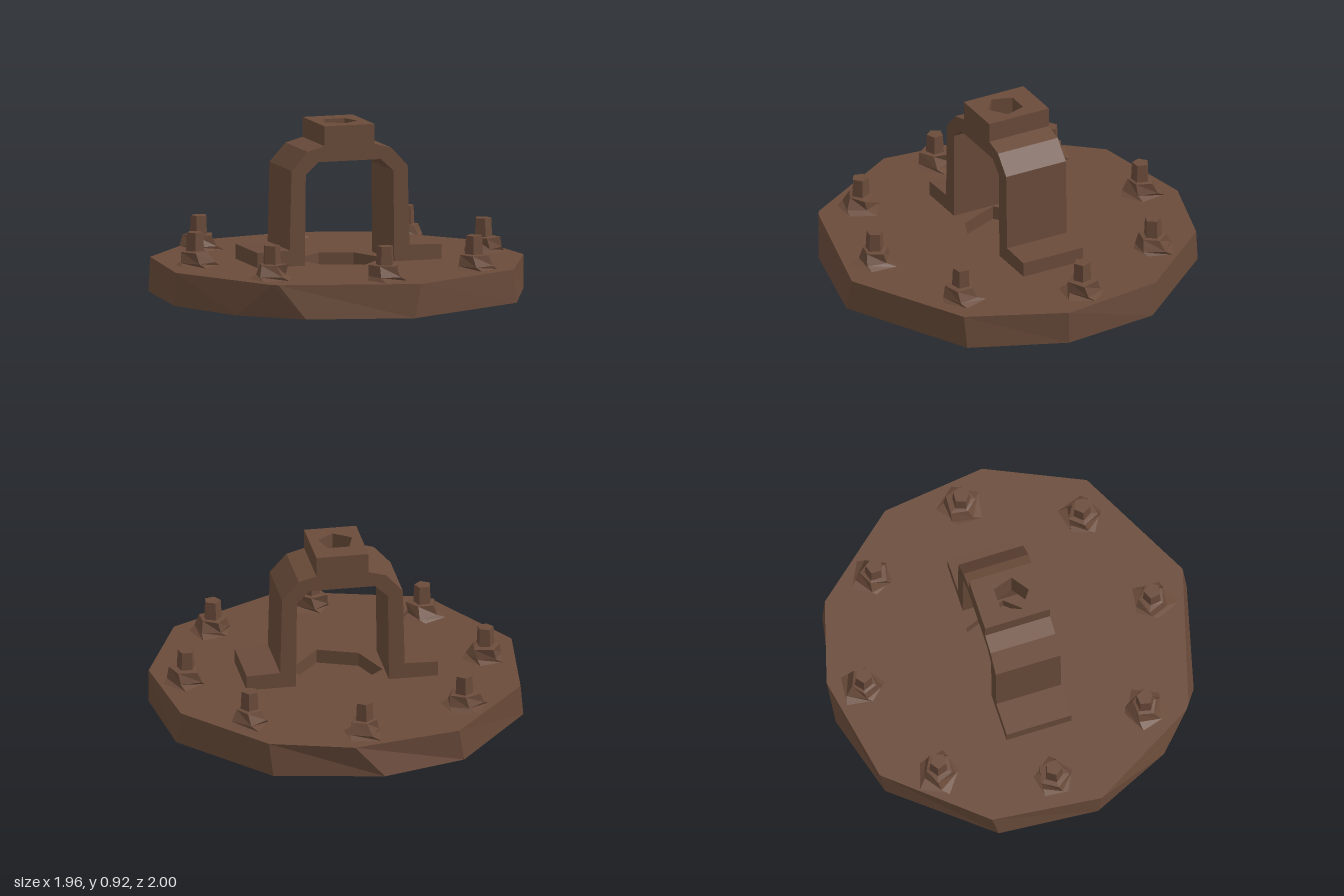
import * as THREE from 'three';

const bronze = new THREE.MeshStandardMaterial({ color: 0x6a4b3a, flatShading: true });
bronze.name = 'brown bronze';

const TOP = 0.18;

// Rings are lists of [x, z], clockwise seen from above.
const baseBottom = [[-0.08, -1], [0.5, -0.89], [0.93, -0.38], [0.98, 0.15], [0.77, 0.65], [0.08, 1],
  [-0.48, 0.86], [-0.78, 0.6], [-0.98, 0.17], [-0.94, -0.37], [-0.53, -0.87]];
const baseTop = [[0.08, -1], [0.52, -0.87], [0.91, -0.41], [0.98, 0.15], [0.75, 0.66], [0.12, 0.99],
  [-0.61, 0.79], [-0.64, 0.77], [-0.98, 0.19], [-0.92, -0.4], [-0.5, -0.89]];
const pit = [[-0.03, -0.25], [0.15, -0.2], [0.24, 0.03], [0.06, 0.24], [-0.15, 0.16], [-0.24, -0.06]];

function ring(sides, radius, turn = 0, jitter = () => 1) {
  return Array.from({ length: sides }, (_, i) => {
    const a = turn + (i / sides) * Math.PI * 2, r = radius * jitter();
    return [Math.cos(a) * r, Math.sin(a) * r];
  });
}

function mesh(name, geometry) {
  const m = new THREE.Mesh(geometry, bronze);
  m.name = name;
  return m;
}

// Wall between two rings; swapping the rings makes it face inward.
function wall(name, a, ya, b, yb) {
  const p = [];
  a.forEach((_, i) => {
    const j = (i + 1) % a.length;
    const a0 = [a[i][0], ya, a[i][1]], a1 = [a[j][0], ya, a[j][1]];
    const b0 = [b[i][0], yb, b[i][1]], b1 = [b[j][0], yb, b[j][1]];
    p.push(...a0, ...b0, ...b1, ...a0, ...b1, ...a1);
  });
  const g = new THREE.BufferGeometry();
  g.setAttribute('position', new THREE.Float32BufferAttribute(p, 3));
  g.computeVertexNormals();
  return mesh(name, g);
}

// Flat face at height y, looking up (1) or down (-1), with an optional hole.
function face(name, outline, y, dir, hole) {
  const pts = (r) => r.map(([x, z]) => new THREE.Vector2(x, -dir * z));
  const s = new THREE.Shape(pts(outline));
  if (hole) s.holes.push(new THREE.Path(pts(hole)));
  const g = new THREE.ShapeGeometry(s);
  g.rotateX(-dir * Math.PI / 2);
  g.translate(0, y, 0);
  return mesh(name, g);
}

// Faceted disc, hollow underneath, with a shallow pit in the middle
function makeBase() {
  const g = new THREE.Group();
  g.name = 'base';
  const recess = ring(11, 0.64, 0.2);
  const ceiling = 0.17, pitFloor = 0.1;
  const boss = pit.map(([x, z]) => [x * 1.02, z * 1.02]);
  g.add(
    wall('baseSide', baseBottom, 0, baseTop, TOP),
    face('baseTop', baseTop, TOP, 1, pit),
    face('baseUnderside', baseBottom, 0, -1, recess),
    wall('recessWall', recess, ceiling, recess, 0),
    face('recessCeiling', recess, ceiling, -1, boss),
    wall('pitWall', pit, TOP, pit, pitFloor + 0.005),
    face('pitFloor', pit, pitFloor + 0.005, 1),
    wall('bossWall', boss, pitFloor, boss, ceiling),
    face('bossFace', boss, pitFloor, -1),
  );
  return g;
}

// Arch bracket: two mirrored legs and a pierced cap block
function makeArch() {
  const g = new THREE.Group();
  g.name = 'arch';
  const half = [[0.515, TOP], [0.515, 0.26], [0.335, 0.265], [0.325, 0.69], [0.235, 0.788],
    [0.14, 0.814], [0.14, 0.73], [0.175, 0.73], [0.245, 0.665], [0.25, TOP]];
  for (const side of [1, -1]) {
    const s = new THREE.Shape(half.map(([x, y]) => new THREE.Vector2(side * x, y)));
    const geo = new THREE.ExtrudeGeometry(s, { depth: 0.36, bevelEnabled: false });
    geo.translate(0, 0, -0.19);
    g.add(mesh(side > 0 ? 'leftLeg' : 'rightLeg', geo));
  }
  const cap = new THREE.Shape([[-0.14, -0.17], [0.14, -0.17], [0.14, 0.19], [-0.14, 0.19]]
    .map(([x, y]) => new THREE.Vector2(x, y)));
  cap.holes.push(new THREE.Path(ring(5, 0.097, -Math.PI / 2).map(([x, z]) => new THREE.Vector2(x, z))));
  const geo = new THREE.ExtrudeGeometry(cap, { depth: 0.19, bevelEnabled: false });
  geo.rotateX(-Math.PI / 2);
  geo.translate(0, 0.73, 0);
  g.add(mesh('cap', geo));
  return g;
}

// Rough stud: washer, nut and bolt end
function makeStud(index) {
  let seed = index * 7919 + 13;
  const rnd = () => (seed = (seed * 16807) % 2147483647) / 2147483647;
  const jitter = () => 0.8 + rnd() * 0.4;
  const g = new THREE.Group();
  g.name = 'stud';
  const turn = rnd() * 6;
  const rings = [
    [ring(5, 0.12, turn, jitter), TOP - 0.002],
    [ring(5, 0.09, turn + 0.3, jitter), 0.2],
    [ring(5, 0.078, turn + 0.5, jitter), 0.258],
    [ring(5, 0.05, turn + 0.5), 0.262],
    [ring(5, 0.045, turn + 0.5), 0.36],
  ];
  const names = ['washer', 'nut', 'nutTop', 'bolt'];
  names.forEach((n, i) => g.add(wall(n, ...rings[i], ...rings[i + 1])));
  g.add(face('boltTop', rings[4][0], 0.36, 1));
  return g;
}

export function createModel() {
  const model = new THREE.Group();
  model.name = 'archedMount';
  model.add(makeBase(), makeArch());
  const spots = [[0, -0.82], [0.57, -0.58], [0.81, -0.02], [0.56, 0.57],
    [-0.01, 0.78], [-0.57, 0.56], [-0.8, -0.02], [-0.58, -0.59]];
  spots.forEach(([x, z], i) => {
    const stud = makeStud(i + 1);
    stud.position.set(x, 0, z);
    model.add(stud);
  });
  return model;
}
